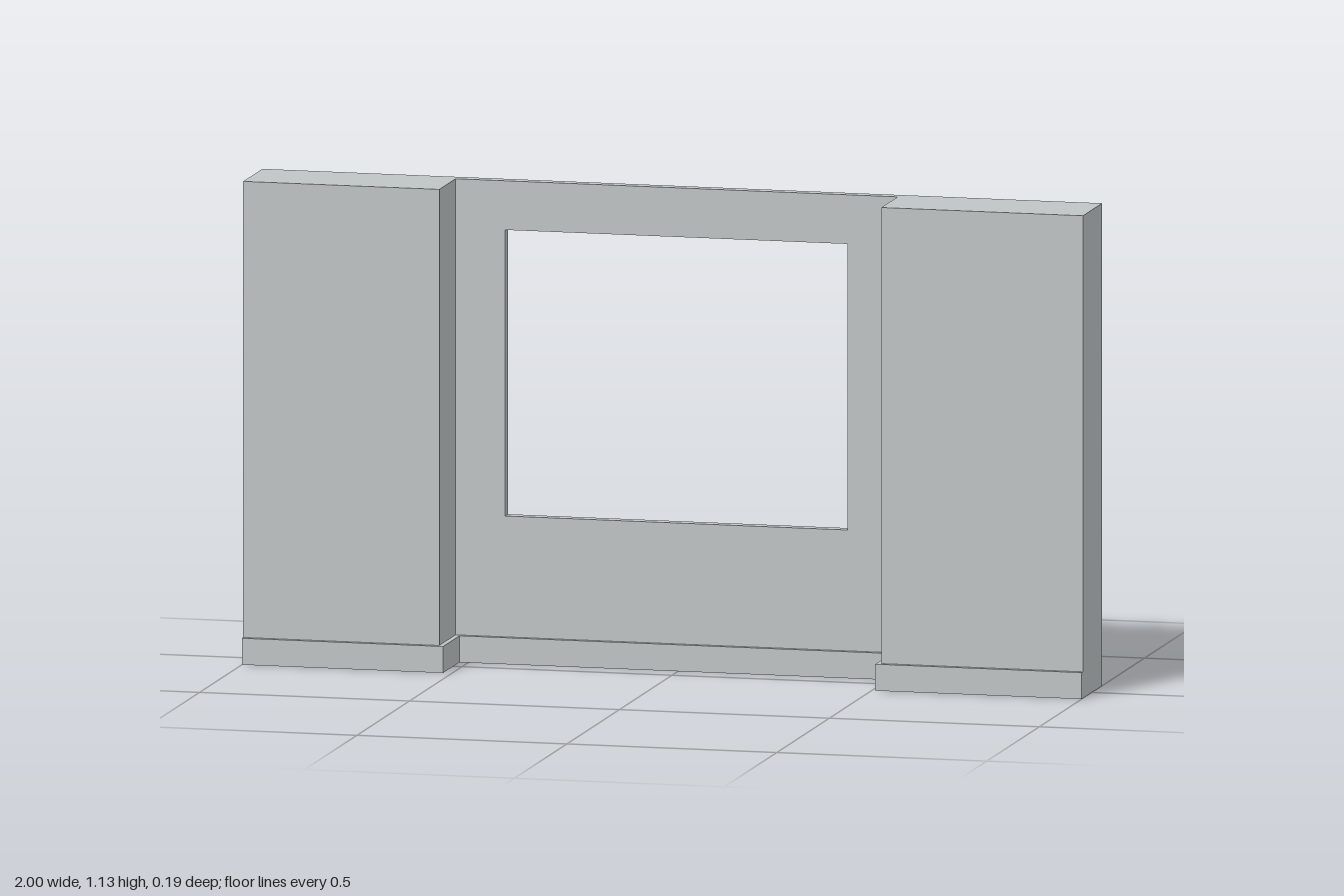
import * as THREE from 'three';

const HEIGHT = 1.13, BACK = -0.097, SKIRT = 0.062;
const LEFT = -0.533, RIGHT = 0.52; // inner edges of the two piers
const PIER_FRONT = 0.085, PANEL_FRONT = -0.07, LIP = 0.012;

export function createModel() {
  const group = new THREE.Group();
  const plaster = new THREE.MeshStandardMaterial({ color: 0xbfc4c4 });
  plaster.name = 'plaster grey';

  const add = (name, geometry) => {
    const mesh = new THREE.Mesh(geometry, plaster);
    mesh.name = name;
    group.add(mesh);
    return mesh;
  };
  const extrude = (shape, depth) => new THREE.ExtrudeGeometry(shape, { depth, bevelEnabled: false });
  const shapeOf = (points) => new THREE.Shape(points.map(([x, y]) => new THREE.Vector2(x, y)));

  // Skirting: the whole footprint, one lip wider than the wall above
  const front = -(PIER_FRONT + LIP), recess = -(PANEL_FRONT + LIP);
  const footprint = shapeOf([
    [-1, front], [LEFT + LIP, front], [LEFT + LIP, recess], [RIGHT - LIP, recess],
    [RIGHT - LIP, front], [1, front], [1, -BACK], [-1, -BACK],
  ]);
  add('skirting', extrude(footprint, SKIRT).rotateX(-Math.PI / 2));

  // Piers on both sides of the recess
  const pier = (name, x0, x1) => {
    const h = HEIGHT - SKIRT, d = PIER_FRONT - BACK;
    add(name, new THREE.BoxGeometry(x1 - x0, h, d))
      .position.set((x0 + x1) / 2, SKIRT + h / 2, BACK + d / 2);
  };
  pier('rightPier', -1, LEFT);
  pier('leftPier', RIGHT, 1);

  // Thin recessed panel with the window opening
  const panel = shapeOf([[LEFT, SKIRT], [RIGHT, SKIRT], [RIGHT, HEIGHT], [LEFT, HEIGHT]]);
  panel.holes.push(shapeOf([[-0.415, 0.345], [-0.415, 1.015], [0.4, 1.015], [0.4, 0.345]]));
  add('windowPanel', extrude(panel, PANEL_FRONT - BACK)).position.z = BACK;

  return group;
}
